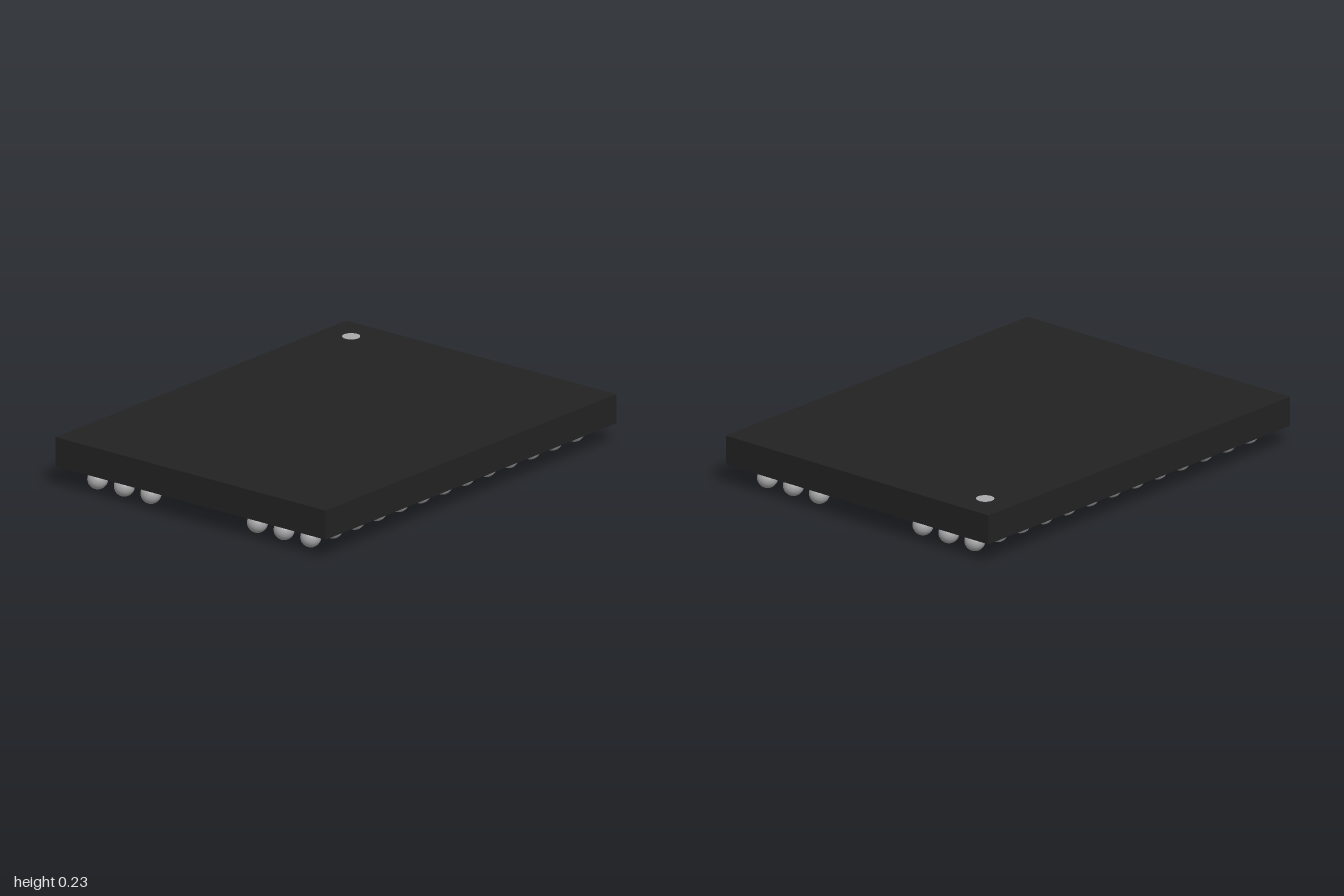
import * as THREE from 'three';

export function createModel() {
  const model = new THREE.Group();
  model.name = 'ballGridChip';

  const blackResin = new THREE.MeshStandardMaterial({ color: 0x222222 });
  blackResin.name = 'blackResin';
  const solderGrey = new THREE.MeshStandardMaterial({ color: 0xa9a8aa });
  solderGrey.name = 'solderGrey';

  const add = (parent, name, geometry, material, x, y, z) => {
    const mesh = new THREE.Mesh(geometry, material);
    mesh.name = name;
    mesh.position.set(x, y, z);
    parent.add(mesh);
    return mesh;
  };

  // Flat package body
  const bottom = 0.094, top = 0.229;
  add(model, 'body', new THREE.BoxGeometry(1.53, top - bottom, 2), blackResin, 0, (top + bottom) / 2, 0);

  // Corner marker dot, a thin disc on the top face
  add(model, 'cornerMarker', new THREE.CylinderGeometry(0.04, 0.04, 0.004, 32), solderGrey, -0.615, top, -0.85);

  // Solder balls: two banks of three columns, thirteen rows each
  const pitch = 0.151, radius = 0.0465;
  const ball = new THREE.SphereGeometry(radius, 24, 16);
  for (const side of [-1, 1]) {
    const bank = new THREE.Group();
    bank.name = side > 0 ? 'leftSolderBalls' : 'rightSolderBalls';
    model.add(bank);
    for (let column = 2; column <= 4; column++) {
      for (let row = -6; row <= 6; row++) {
        add(bank, 'solderBall', ball, solderGrey, side * column * pitch, radius, row * pitch);
      }
    }
  }
  return model;
}
